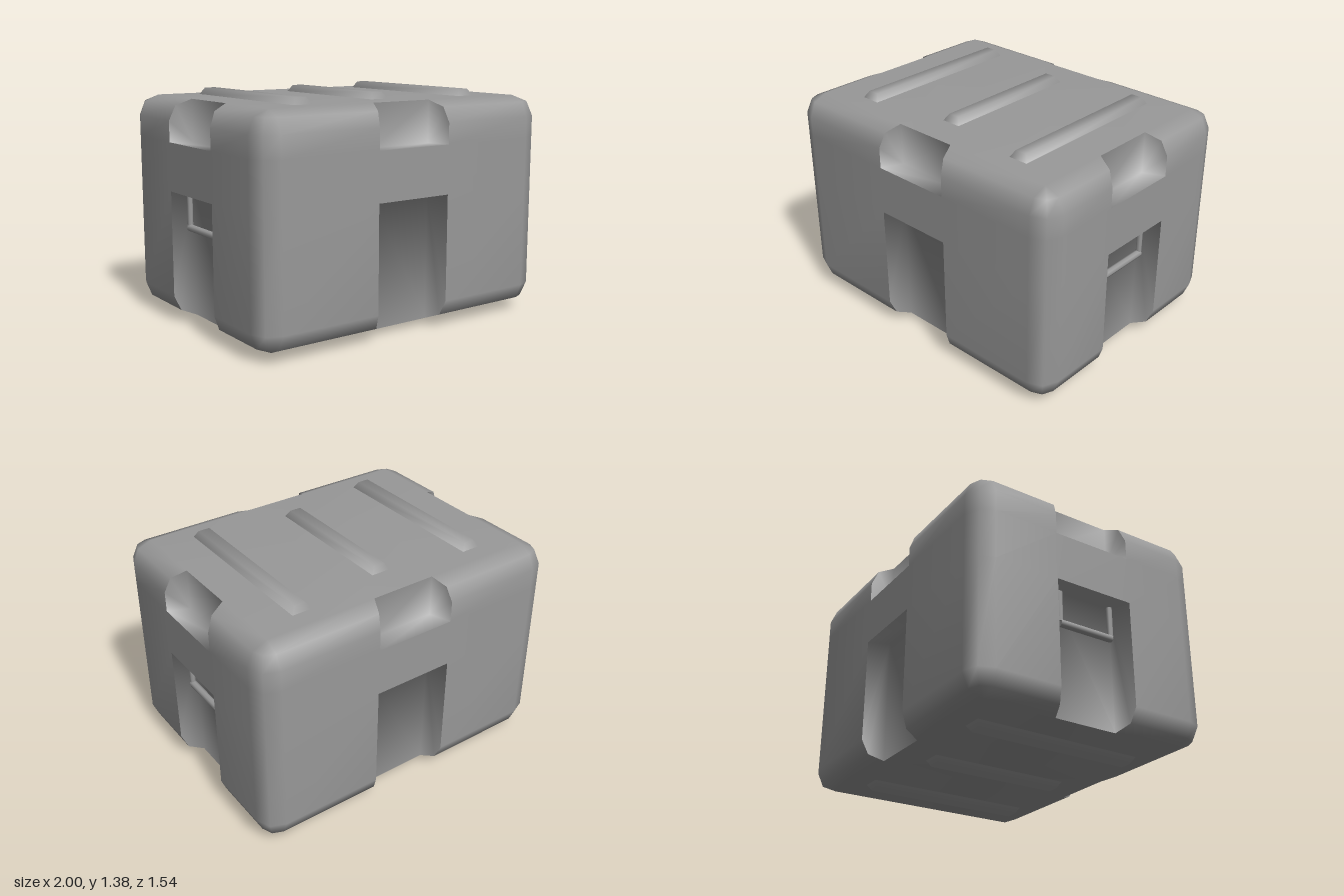
import * as THREE from 'three';
import { mergeVertices } from 'three/addons/utils/BufferGeometryUtils.js';

const HALF_X = 1, HALF_Z = 0.77, Y0 = 0.04, Y1 = 1.34;
const R = 0.125;                       // edge rounding and recess depth
const MID = R * (1 - Math.SQRT1_2);    // halfway point of the rounding
const material = new THREE.MeshStandardMaterial({ color: 0x999999 });

function weld(positions) {
  const g = new THREE.BufferGeometry();
  g.setAttribute('position', new THREE.Float32BufferAttribute(positions, 3));
  return mergeVertices(g, 1e-4);
}

// Smooth normals weighted by area: large faces stay flat
function smoothByArea(positions) {
  const g = weld(positions);
  g.computeVertexNormals();
  return g;
}

// Smooth normals weighted by corner angle: soft shading over all edges
function smoothByAngle(positions) {
  const g = weld(positions), p = g.attributes.position, index = g.index.array;
  const sums = Array.from({ length: p.count }, () => new THREE.Vector3());
  for (let i = 0; i < index.length; i += 3) {
    const ids = [index[i], index[i + 1], index[i + 2]];
    const v = ids.map((id) => new THREE.Vector3().fromBufferAttribute(p, id));
    const normal = new THREE.Triangle(...v).getNormal(new THREE.Vector3());
    for (let k = 0; k < 3; k++) {
      const e1 = v[(k + 1) % 3].clone().sub(v[k]), e2 = v[(k + 2) % 3].clone().sub(v[k]);
      sums[ids[k]].addScaledVector(normal, e1.angleTo(e2));
    }
  }
  const normals = sums.flatMap((s) => s.normalize().toArray());
  g.setAttribute('normal', new THREE.Float32BufferAttribute(normals, 3));
  return g;
}

function add(parent, name, geometry) {
  const mesh = new THREE.Mesh(geometry, material);
  mesh.name = name;
  parent.add(mesh);
  return mesh;
}

function tri(out, a, b, c) {
  if (new THREE.Triangle(a, b, c).getArea() > 1e-6) {
    for (const p of [a, b, c]) out.push(p.x, p.y, p.z);
  }
}

function quad(out, a, b, c, d) {
  tri(out, a, b, c);
  tri(out, a, c, d);
}

// Plan outline at one height: per side 3 corner points, then 4 recess points
function outline({ y, inset, notched }) {
  const pts = [], r = R - inset, k = r * Math.SQRT1_2;
  for (let side = 0; side < 4; side++) {
    const [ht, hd] = side % 2 ? [HALF_Z, HALF_X] : [HALF_X, HALF_Z];
    const w = notched ? 0.25 - 0.05 * inset / R : 0.25;
    const surface = hd - inset, floor = notched ? hd - R : surface;
    const local = [
      [-ht + R - r, hd - R], [-ht + R - k, hd - R + k], [-ht + R, surface],
      [-w, surface], [-0.2, floor], [0.2, floor], [w, surface],
    ];
    const c = [1, 0, -1, 0][side], s = [0, 1, 0, -1][side];
    for (const [t, d] of local) pts.push(new THREE.Vector3(t * c + d * s, y, d * c - t * s));
  }
  return pts;
}

// Recess from its ledge ring to the ring where its floor meets the cap
function addRecess(out, rings, flip) {
  const face = (a, b, c) => (flip ? tri(out, a, c, b) : tri(out, a, b, c));
  const ledge = rings[0], end = rings[rings.length - 1];
  for (let s = 0; s < 28; s += 7) {
    const [rimA, inA, inB, rimB] = ledge.slice(s + 3, s + 7);
    face(inA, inB, end[s + 5]);
    face(inA, end[s + 5], end[s + 4]);
    face(rimA, rimB, inB);
    face(rimA, inB, inA);
    for (let i = 0; i < rings.length - 1; i++) {
      face(inA, rings[i + 1][s + 3], rings[i][s + 3]);
      face(inB, rings[i][s + 6], rings[i + 1][s + 6]);
    }
  }
}

// Stack the outlines; recesses are separate so their rims stay crisp
function buildShell(group) {
  const layers = [
    [Y0, R, true], [Y0 + MID, MID, true], [Y0 + R, 0, true], [0.8, 0, true],
    [0.8, 0, false], [1.09, 0, false],
    [1.09, 0, true], [Y1 - R, 0, true], [Y1 - MID, MID, true], [Y1, R, true],
  ].map(([y, inset, notched]) => ({ y, inset, notched }));
  const rings = layers.map(outline), n = rings[0].length;
  const body = [], recess = [];
  for (let i = 0; i < rings.length - 1; i++) {
    const open = layers[i].notched || layers[i + 1].notched;
    for (let j = 0; j < n; j++) {
      if (open && j % 7 >= 3 && j % 7 < 6) continue;
      const k = (j + 1) % n;
      quad(body, rings[i][j], rings[i][k], rings[i + 1][k], rings[i + 1][j]);
    }
  }
  // Flat top and bottom
  const top = rings[rings.length - 1], bottom = rings[0];
  const topMid = new THREE.Vector3(0, Y1, 0), bottomMid = new THREE.Vector3(0, Y0, 0);
  for (let j = 0; j < n; j++) {
    const k = (j + 1) % n;
    tri(body, topMid, top[j], top[k]);
    tri(body, bottomMid, bottom[k], bottom[j]);
  }
  addRecess(recess, rings.slice(6), false);
  addRecess(recess, rings.slice(0, 4).reverse(), true);
  add(group, 'caseBody', smoothByArea(body));
  add(group, 'recesses', smoothByAngle(recess));
}

// Open-bottomed rib with tapered sides and ends, standing on y = 0
function ribGeometry(halfLength) {
  const ring = (x, y, z) => [[-x, z], [x, z], [x, -z], [-x, -z]]
    .map(([px, pz]) => new THREE.Vector3(px, y, pz));
  const base = ring(0.06, 0, halfLength), top = ring(0.035, 0.04, halfLength - 0.025);
  const out = [];
  for (let i = 0; i < 4; i++) {
    const k = (i + 1) % 4;
    quad(out, base[i], base[k], top[k], top[i]);
  }
  quad(out, ...top);
  return smoothByAngle(out);
}

// Carrying handle hanging inside a side recess
function buildHandle() {
  const handle = new THREE.Group();
  const grip = add(handle, 'handleGrip', new THREE.CylinderGeometry(0.022, 0.022, 0.355, 8));
  grip.rotation.x = Math.PI / 2;
  grip.position.set(0.915, 0.585, 0.006);
  for (const z of [-0.168, 0.18]) {
    add(handle, 'handleArm', new THREE.CylinderGeometry(0.017, 0.017, 0.185, 8))
      .position.set(0.915, 0.6875, z);
  }
  return handle;
}

export function createModel() {
  const model = new THREE.Group();
  model.name = 'storageCase';
  buildShell(model);

  // Three ribs on the lid and three on the underside
  for (const x of [-0.59, 0, 0.59]) {
    const geometry = ribGeometry(x === 0 ? 0.445 : 0.535);
    add(model, 'topRib', geometry).position.set(x, Y1, 0);
    const foot = add(model, 'bottomRib', geometry);
    foot.rotation.z = Math.PI;
    foot.position.set(x, Y0, 0);
  }

  // A handle on each end
  for (const [name, angle] of [['leftHandle', 0], ['rightHandle', Math.PI]]) {
    const handle = buildHandle();
    handle.name = name;
    handle.rotation.y = angle;
    model.add(handle);
  }
  return model;
}
